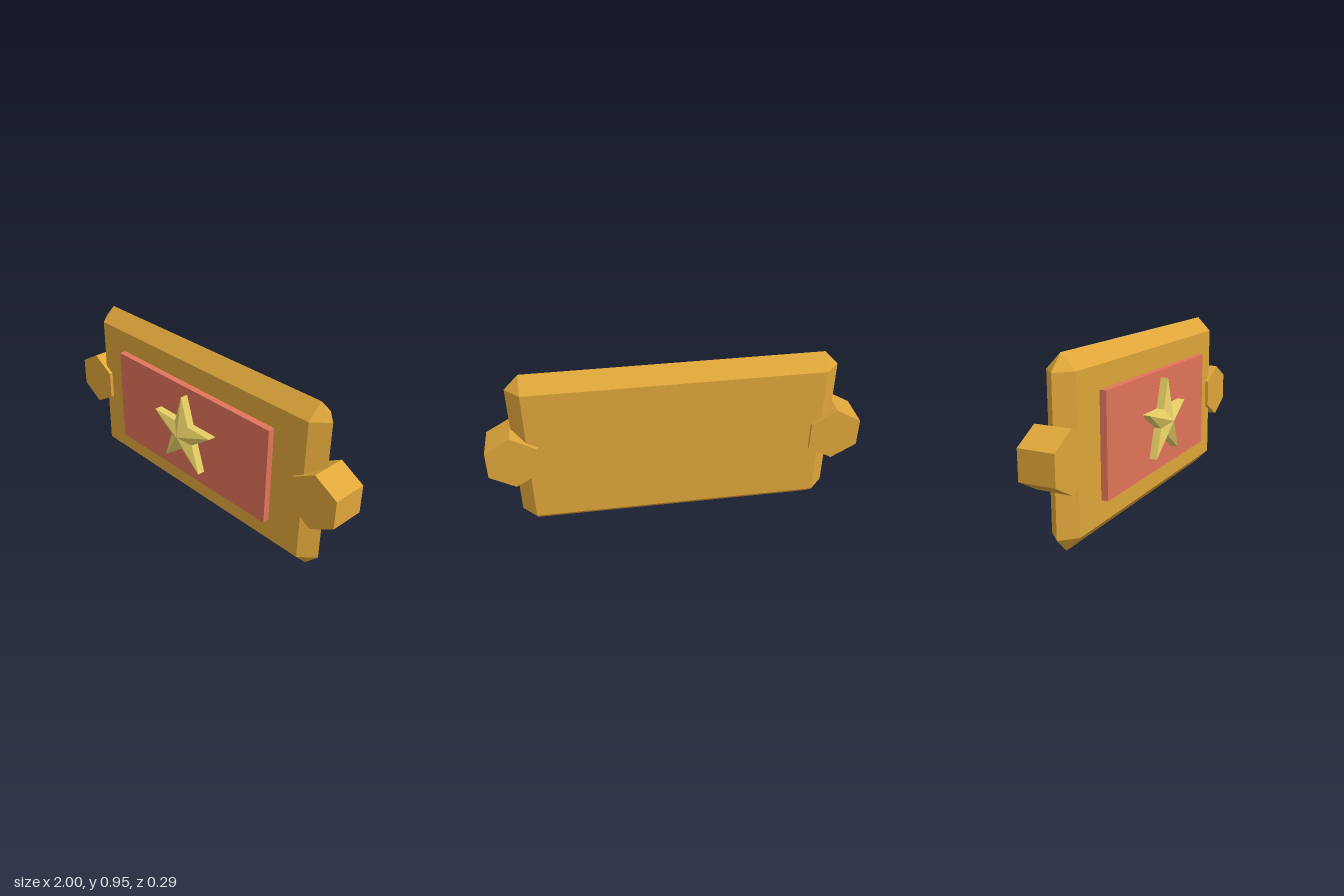
import * as THREE from 'three';
import { ConvexGeometry } from 'three/addons/geometries/ConvexGeometry.js';

const CY = 0.473; // height of the centre line

export function createModel() {
  const model = new THREE.Group();
  model.name = 'starPlaque';
  const mat = (name, color) => {
    const m = new THREE.MeshStandardMaterial({ color, flatShading: true });
    m.name = name;
    return m;
  };
  const gold = mat('gold', 0xdfa63a);
  const red = mat('red', 0xe2745a);
  const paleGold = mat('pale gold', 0xf0d76a);

  const add = (name, geometry, material, x, y, z) => {
    const mesh = new THREE.Mesh(geometry, material);
    mesh.name = name;
    mesh.position.set(x, y, z);
    model.add(mesh);
    return mesh;
  };

  // Plate: a slab bevelled to a ridge on all four sides
  const w = 0.785, h = 0.393, b = 0.077;
  const points = [];
  for (const sx of [-1, 1]) for (const sy of [-1, 1]) {
    points.push(
      new THREE.Vector3(sx * w, sy * h, 0.078),
      new THREE.Vector3(sx * w, sy * h, -0.078),
      new THREE.Vector3(sx * (w + b), sy * h, 0),
      new THREE.Vector3(sx * w, sy * (h + b + 0.003), 0),
    );
  }
  add('plate', new ConvexGeometry(points), gold, 0, CY, -0.048);

  // Hexagonal end knobs with a corner pointing up
  for (const side of [-1, 1]) {
    const hex = new THREE.CylinderGeometry(0.156, 0.156, 0.195, 6).rotateX(Math.PI / 2);
    add(side > 0 ? 'leftKnob' : 'rightKnob', hex, gold, side * 0.865, CY, -0.048);
  }

  // Raised panel
  add('panel', new THREE.BoxGeometry(1.17, 0.547, 0.037), red, 0, CY, 0.0485);

  // Star: straight rim walls, then facets rising to a central peak
  const ring = [];
  for (let i = 0; i < 10; i++) {
    const r = i % 2 ? 0.087 : 0.232;
    const a = Math.PI / 2 + (i * Math.PI) / 5;
    ring.push([r * Math.cos(a), r * Math.sin(a)]);
  }
  const pos = [];
  ring.forEach(([x0, y0], i) => {
    const [x1, y1] = ring[(i + 1) % 10];
    pos.push(x0, y0, 0.043, x1, y1, 0.043, 0, 0, 0.08); // facet
    pos.push(x0, y0, 0, x1, y1, 0, x1, y1, 0.043); // wall
    pos.push(x0, y0, 0, x1, y1, 0.043, x0, y0, 0.043);
    pos.push(x1, y1, 0, x0, y0, 0, 0, 0, 0); // back
  });
  const star = new THREE.BufferGeometry();
  star.setAttribute('position', new THREE.Float32BufferAttribute(pos, 3));
  star.computeVertexNormals();
  add('star', star, paleGold, 0, 0.475, 0.067);

  return model;
}
